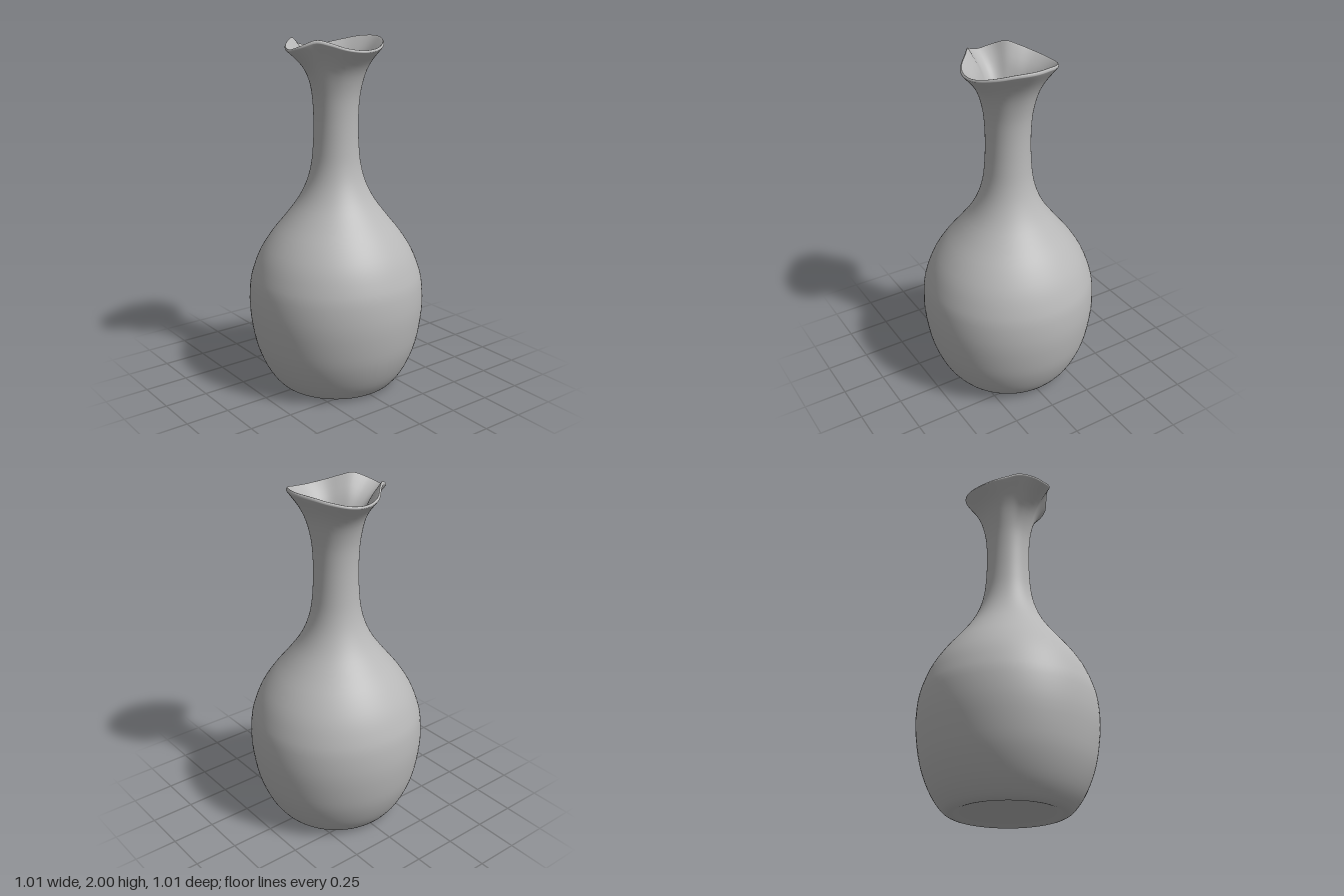
import * as THREE from 'three';
import { mergeVertices } from 'three/addons/utils/BufferGeometryUtils.js';

const vec = ([x, y]) => new THREE.Vector2(x, y);

// Smooth value at an angle, from [degrees from the front, value] keys mirrored left and right
function rimRule(keys) {
  const mirrored = [
    ...keys.slice(1).reverse().map(([a, v]) => [-a, v]),
    ...keys,
    [360 - keys[keys.length - 2][0], keys[keys.length - 2][1]],
  ];
  return (deg) => {
    const i = Math.max(1, mirrored.findIndex(([a]) => a >= deg - 1e-6) - 1);
    const [p, q, r, s] = [i - 1, i, i + 1, i + 2].map((k) => mirrored[Math.min(k, mirrored.length - 1)]);
    const span = r[0] - q[0];
    const t = (deg - q[0]) / span;
    const m0 = ((r[1] - p[1]) / (r[0] - p[0])) * span;
    const m1 = s[0] > q[0] ? ((s[1] - q[1]) / (s[0] - q[0])) * span : 0;
    const t2 = t * t, t3 = t2 * t;
    return (2 * t3 - 3 * t2 + 1) * q[1] + (t3 - 2 * t2 + t) * m0 + (3 * t2 - 2 * t3) * r[1] + (t3 - t2) * m1;
  };
}

// Pulled lip: radius and height around the mouth
const rimRadius = rimRule([[0, 0.315], [12, 0.302], [28, 0.254], [45, 0.236], [68, 0.249], [90, 0.259],
  [110, 0.264], [135, 0.262], [157, 0.262], [180, 0.27]]);
const rimHeight = rimRule([[0, 1.948], [12, 1.965], [28, 1.998], [45, 1.985], [68, 1.957], [90, 1.945],
  [110, 1.951], [135, 1.974], [157, 1.993], [180, 2.0]]);

export function createModel() {
  const group = new THREE.Group();
  group.name = 'carafe';
  const glaze = new THREE.MeshStandardMaterial({ color: 0xb8b8b8 });
  glaze.name = 'grey glaze';

  // Closed wall profile: hollowed foot, belly, neck, lip, then back down the inside
  const profile = [
    [0, 0.03], [0.15, 0.027], [0.25, 0.015], [0.295, 0.002], [0.325, 0.004], [0.36, 0.03], [0.41, 0.1],
    [0.455, 0.2], [0.485, 0.31], [0.505, 0.47], [0.499, 0.61], [0.477, 0.7], [0.436, 0.8],
    [0.372, 0.9], [0.292, 1.0], [0.218, 1.1], [0.168, 1.2], [0.141, 1.3], [0.13, 1.4],
    [0.126, 1.5], [0.127, 1.6], [0.136, 1.7], [0.162, 1.8], [0.2, 1.87], [0.253, 1.931],
    [0.26, 1.942], [0.256, 1.95], [0.245, 1.946], [0.184, 1.88], [0.145, 1.8], [0.117, 1.7],
    [0.107, 1.6], [0.106, 1.5], [0.11, 1.4], [0.121, 1.3], [0.148, 1.2], [0.198, 1.1],
    [0.272, 1.0], [0.35, 0.9], [0.414, 0.8], [0.477, 0.61], [0.483, 0.47], [0.435, 0.2],
    [0.34, 0.06], [0.2, 0.05], [0, 0.05],
  ].map(vec);
  const points = new THREE.SplineCurve(profile).getPoints((profile.length - 1) * 3);
  points.forEach((p) => { p.x = Math.max(0, p.x); p.y = Math.max(0, p.y); });
  const lathe = new THREE.LatheGeometry(points, 96);

  // Pull the mouth into a spout and a raised back
  const pos = lathe.attributes.position;
  for (let i = 0; i < pos.count; i++) {
    const x = pos.getX(i), y = pos.getY(i), z = pos.getZ(i);
    if (y < 1.55) continue;
    const w = Math.pow((y - 1.55) / 0.4, 3);
    const deg = Math.abs(THREE.MathUtils.radToDeg(Math.atan2(x, z)));
    const r = Math.hypot(x, z);
    const k = (r + w * (rimRadius(deg) - 0.26)) / r;
    pos.setXYZ(i, x * k, y + w * (rimHeight(deg) - 1.95), z * k);
  }

  // Weld the seam so shading stays smooth all round
  lathe.deleteAttribute('uv');
  lathe.deleteAttribute('normal');
  const geometry = mergeVertices(lathe, 1e-5);
  geometry.computeVertexNormals();

  const body = new THREE.Mesh(geometry, glaze);
  body.name = 'carafeBody';
  group.add(body);
  return group;
}
